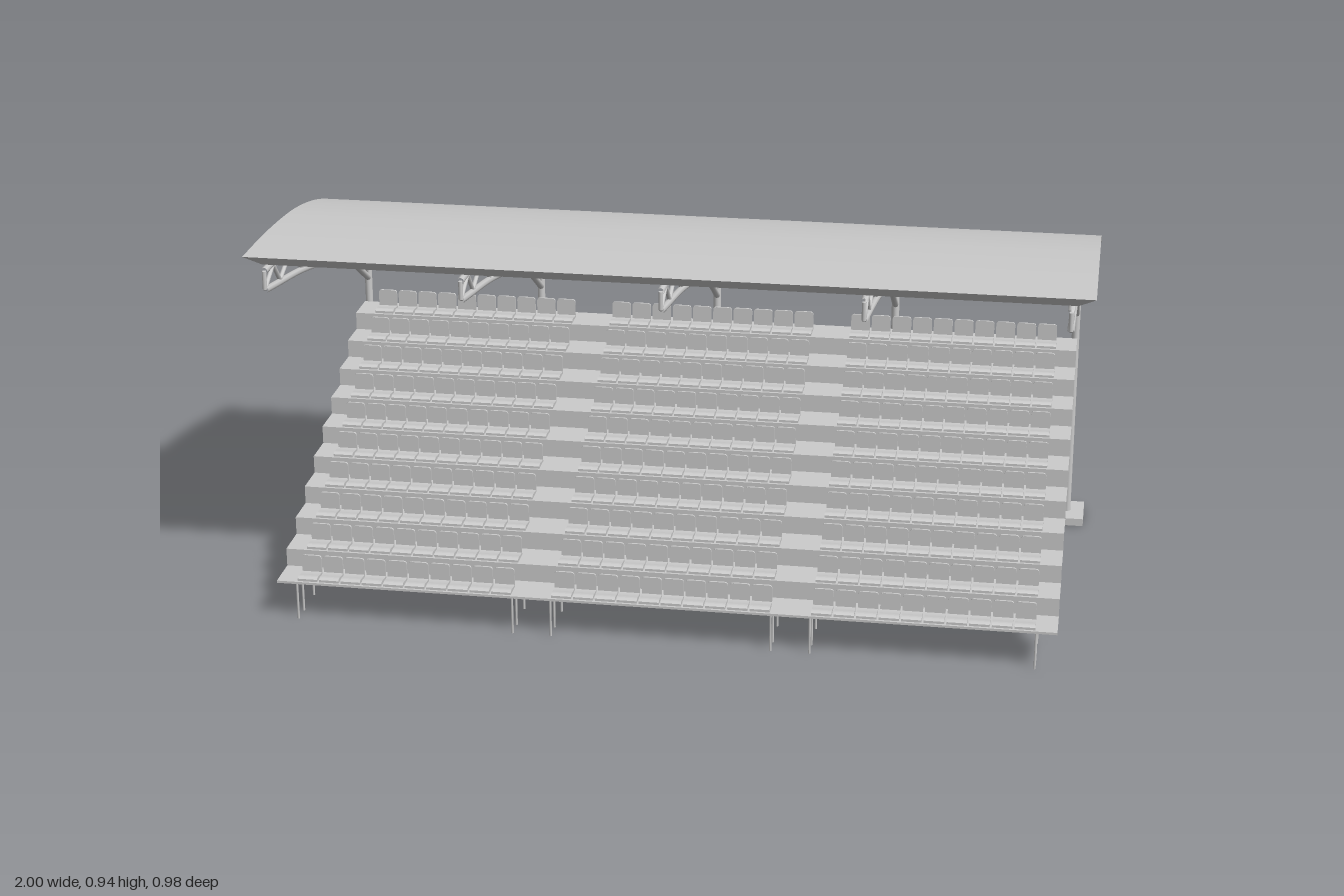
import * as THREE from 'three';
import { mergeGeometries } from 'three/addons/utils/BufferGeometryUtils.js';

const ROWS = 10, RUN = 0.0906, RISE = 0.0456, FRONT = 0.487, BASE = 0.1;
const SEATS = 10, PITCH = 0.054;
const BLOCKS = [-0.64, -0.005, 0.63]; // seat block centres
const FRAMES = [-0.95, -0.475, 0, 0.473, 0.945];

const curve = pts => new THREE.CatmullRomCurve3(pts.map(([z, y]) => new THREE.Vector3(0, y, z)));
const roofLine = curve([[0.488, 0.938], [0.3, 0.937], [0.1, 0.925], [0, 0.912], [-0.1, 0.893],
  [-0.2, 0.867], [-0.3, 0.833], [-0.4, 0.791], [-0.447, 0.77]]);
const topChord = curve([[0.482, 0.903], [0.3, 0.901], [0.1, 0.887], [0, 0.873], [-0.1, 0.853],
  [-0.2, 0.827], [-0.3, 0.794], [-0.43, 0.74]]);
const bottomChord = curve([[0.482, 0.856], [0.4, 0.842], [0.2, 0.808], [0, 0.763], [-0.1, 0.735],
  [-0.2, 0.7], [-0.3, 0.655], [-0.43, 0.575]]);
const WEB = [[0.482, 0.903], [0.482, 0.858], [0.41, 0.896], [0.36, 0.84], [0.245, 0.892], [0.18, 0.808],
  [0.065, 0.88], [0.01, 0.772], [-0.1, 0.85], [-0.125, 0.73], [-0.24, 0.81], [-0.258, 0.68],
  [-0.375, 0.76], [-0.43, 0.58]];

// Round bar between two points [z, y]
function bar([z0, y0], [z1, y1], r) {
  const dz = z1 - z0, dy = y1 - y0;
  const g = new THREE.CylinderGeometry(r, r, Math.hypot(dz, dy), 8);
  g.rotateX(Math.atan2(dz, dy));
  return g.translate(0, (y0 + y1) / 2, (z0 + z1) / 2);
}

// Curved slab whose underside is inset all round
function roofGeometry() {
  const g = new THREE.BoxGeometry(2, 1, 1, 1, 1, 32);
  const p = g.attributes.position;
  for (let i = 0; i < p.count; i++) {
    const top = p.getY(i) > 0;
    const c = roofLine.getPoint(0.5 - p.getZ(i));
    const z = top ? c.z : THREE.MathUtils.mapLinear(c.z, -0.447, 0.488, -0.422, 0.463);
    p.setXYZ(i, Math.sign(p.getX(i)) * (top ? 1 : 0.96), top ? c.y : c.y - 0.025, z);
  }
  g.computeVertexNormals();
  return g;
}

// One seat: curved pan and rounded backrest, origin at the tread's front edge
function seatGeometry() {
  const w = 0.049, h = 0.05, r = 0.008;
  const pan = new THREE.Shape();
  pan.moveTo(0, 0.002);
  pan.lineTo(0, 0.008);
  pan.quadraticCurveTo(0.006, 0.014, 0.02, 0.011);
  pan.quadraticCurveTo(0.035, 0.008, 0.046, 0.009);
  pan.lineTo(0.046, 0.002);
  const panGeo = new THREE.ExtrudeGeometry(pan, { depth: w, bevelEnabled: false, curveSegments: 4 });
  panGeo.rotateY(Math.PI / 2).translate(-w / 2, 0, 0);
  const back = new THREE.Shape();
  back.moveTo(-w / 2, 0);
  back.lineTo(w / 2, 0);
  back.lineTo(w / 2, h - r);
  back.quadraticCurveTo(w / 2, h, w / 2 - r, h);
  back.lineTo(-w / 2 + r, h);
  back.quadraticCurveTo(-w / 2, h, -w / 2, h - r);
  const backGeo = new THREE.ExtrudeGeometry(back, { depth: 0.005, bevelEnabled: false, curveSegments: 3 });
  backGeo.translate(0, 0.002, -0.05);
  return mergeGeometries([panGeo, backGeo]);
}

export function createModel() {
  const model = new THREE.Group();
  model.name = 'grandstand';
  const grey = new THREE.MeshStandardMaterial({ color: 0xcccccc });
  grey.name = 'light grey';
  const add = (parent, name, geo, x = 0, y = 0, z = 0) => {
    const m = new THREE.Mesh(geo, grey);
    m.name = name;
    m.position.set(x, y, z);
    parent.add(m);
    return m;
  };

  add(model, 'roof', roofGeometry());

  // Roof frames: column, footing and curved truss
  const footing = new THREE.BoxGeometry(0.09, 0.02, 0.118);
  const column = new THREE.CylinderGeometry(0.01, 0.01, 0.725, 12);
  const chords = [topChord, bottomChord].map(c => new THREE.TubeGeometry(c, 24, 0.0085, 8));
  const web = mergeGeometries(WEB.slice(1).map((p, i) => bar(WEB[i], p, 0.0055)));
  for (const x of FRAMES) {
    const frame = new THREE.Group();
    frame.name = 'roofFrame';
    frame.position.x = x;
    add(frame, 'footing', footing, 0, 0.01, -0.43);
    add(frame, 'column', column, 0, 0.3825, -0.43);
    add(frame, 'topChord', chords[0]);
    add(frame, 'bottomChord', chords[1]);
    add(frame, 'trussWeb', web);
    model.add(frame);
  }

  // Stepped terrace with seats and thin supports
  const tread = new THREE.BoxGeometry(1.91, 0.006, RUN + 0.004);
  const riser = new THREE.BoxGeometry(1.91, RISE, 0.004);
  const seat = seatGeometry();
  const seatRow = mergeGeometries(Array.from({ length: SEATS }, (_, i) =>
    seat.clone().translate((i - (SEATS - 1) / 2) * PITCH, 0, 0)));
  const half = SEATS * PITCH / 2;
  const support = (x, z, h) => add(model, 'support', new THREE.CylinderGeometry(0.003, 0.003, h, 6), x, h / 2, z);
  for (let i = 0; i < ROWS; i++) {
    const z = FRONT - i * RUN, y = BASE + i * RISE;
    add(model, 'tread', tread, -0.005, y - 0.003, z - RUN / 2);
    if (i < ROWS - 1) add(model, 'riser', riser, -0.005, y + RISE / 2 - 0.003, z - RUN);
    for (const bx of BLOCKS) {
      add(model, 'seatRow', seatRow, bx, y, z);
      for (const s of [-1, 1]) {
        support(bx + s * half, z - 0.0475, y - 0.004);
        if (i === 0) support(bx + s * half, z - 0.001, y - 0.004);
      }
    }
  }
  return model;
}
